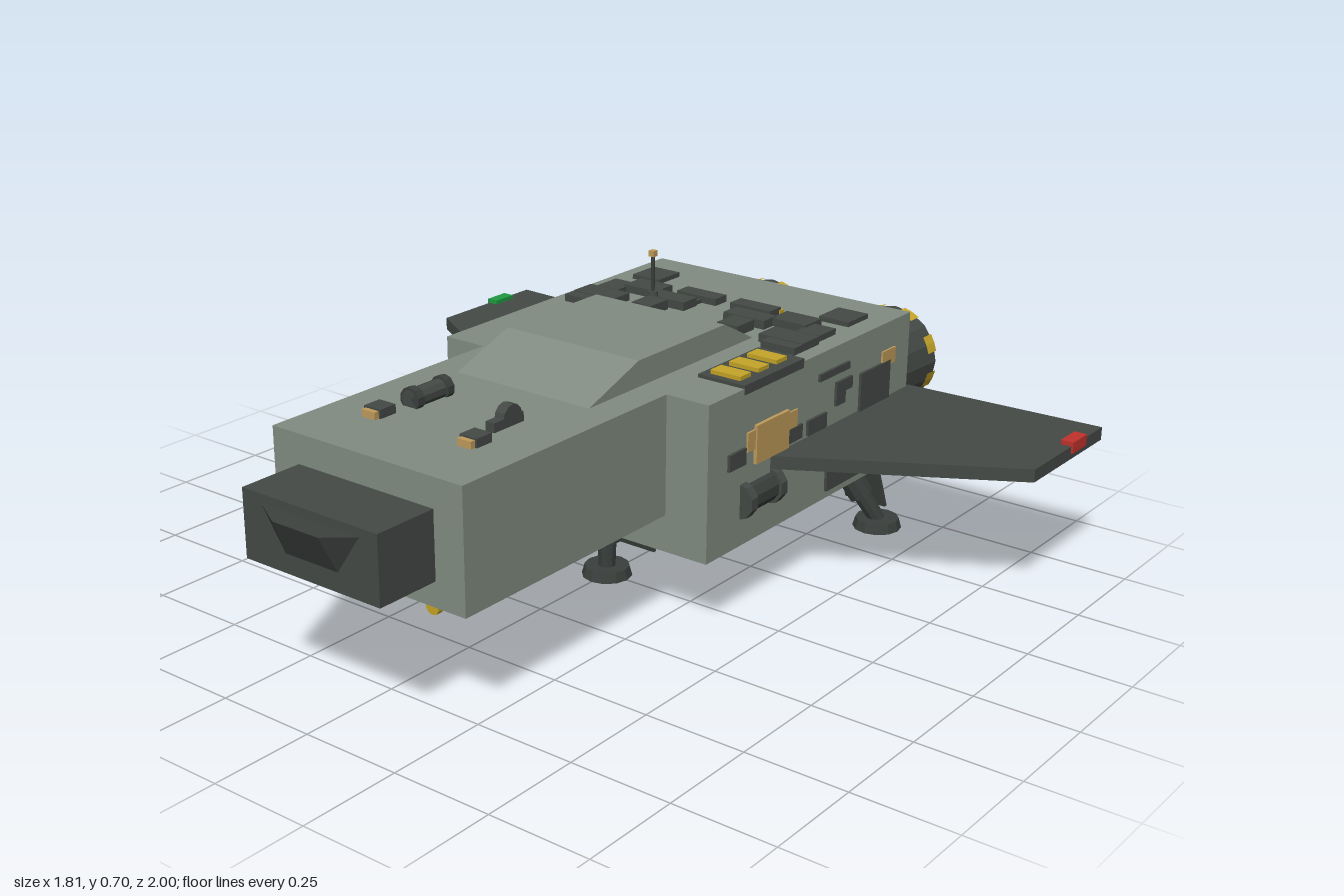
import * as THREE from 'three';

function mat(name, color, extra = {}) {
  const m = new THREE.MeshStandardMaterial({ color, flatShading: true, ...extra });
  m.name = name;
  return m;
}

export function createModel() {
  const model = new THREE.Group();
  model.name = 'dropship';
  const hull = mat('hull grey green', 0x818c81);
  const dark = mat('dark metal', 0x444945);
  const darker = mat('gear metal', 0x3a3f3c);
  const yellow = mat('yellow', 0xc4a428);
  const tan = mat('tan', 0xbf9b5a);
  const red = mat('red light', 0xc0322c);
  const green = mat('green light', 0x1f9a40);

  const add = (name, geo, m, parent = model) => {
    const mesh = new THREE.Mesh(geo, m);
    mesh.name = name;
    parent.add(mesh);
    return mesh;
  };
  // box from its limits on x, y and z
  const box = (name, m, x0, x1, y0, y1, z0, z1) => {
    const b = add(name, new THREE.BoxGeometry(x1 - x0, y1 - y0, z1 - z0), m);
    b.position.set((x0 + x1) / 2, (y0 + y1) / 2, (z0 + z1) / 2);
    return b;
  };
  const pair = (name, m, x0, x1, ...rest) => {
    box(name + 'Left', m, x0, x1, ...rest);
    box(name + 'Right', m, -x1, -x0, ...rest);
  };
  // cylinder between two points
  const rod = (name, m, a, b, r0, r1 = r0, sides = 12) => {
    const p = new THREE.Vector3(...a), q = new THREE.Vector3(...b);
    const c = add(name, new THREE.CylinderGeometry(r1, r0, p.distanceTo(q), sides), m);
    c.position.copy(p).add(q).multiplyScalar(0.5);
    c.quaternion.setFromUnitVectors(new THREE.Vector3(0, 1, 0), q.sub(p).normalize());
    return c;
  };
  // outline in z and y, extruded across x
  const sideProfile = (name, m, pts, halfWidth) => {
    const shape = new THREE.Shape(pts.map(([z, y]) => new THREE.Vector2(-z, y)));
    const geo = new THREE.ExtrudeGeometry(shape, { depth: halfWidth * 2, bevelEnabled: false });
    geo.translate(0, 0, -halfWidth).rotateY(Math.PI / 2);
    return add(name, geo, m);
  };

  // hull
  box('mainHull', hull, -0.385, 0.385, 0.18, 0.56, -0.725, 0.13);
  box('forwardHull', hull, -0.27, 0.27, 0.27, 0.56, 0.12, 0.8);
  sideProfile('dorsalHump', hull, [[0.32, 0.555], [0.13, 0.622], [-0.2, 0.622], [-0.325, 0.555]], 0.192);

  // nose block and its sloping sensor face
  box('nose', dark, -0.195, 0.19, 0.33, 0.49, 0.79, 0.96);
  const A = [-0.14, 0.47, 0.96], B = [0.14, 0.47, 0.96], C = [-0.065, 0.462, 1],
    D = [0.065, 0.462, 1], E = [-0.075, 0.375, 0.96], F = [0.075, 0.375, 0.96];
  const tris = [A, C, D, A, D, B, C, E, F, C, F, D, A, E, C, B, D, F];
  const wedge = new THREE.BufferGeometry();
  wedge.setAttribute('position', new THREE.Float32BufferAttribute(tris.flat(), 3));
  wedge.computeVertexNormals();
  add('noseSensor', wedge, darker);

  // wings with tip lights
  for (const s of [1, -1]) {
    const shape = new THREE.Shape([[0.38, 0.115], [0.9, 0.42], [0.9, 0.762], [0.38, 0.738]]
      .map(([x, y]) => new THREE.Vector2(s * x, y)));
    const geo = new THREE.ExtrudeGeometry(shape, { depth: 0.032, bevelEnabled: false });
    geo.rotateX(-Math.PI / 2).translate(0, 0.333, 0);
    add(s > 0 ? 'leftWing' : 'rightWing', geo, dark);
    const x = s * 0.889;
    box(s > 0 ? 'leftWingLight' : 'rightWingLight', s > 0 ? red : green,
      x - 0.016, x + 0.016, 0.348, 0.376, -0.67, -0.6);
  }

  // engine block
  sideProfile('engineMount', dark, [[-0.72, 0.215], [-0.72, 0.52], [-0.765, 0.5], [-0.82, 0.465],
    [-0.82, 0.225]].reverse(), 0.325);
  rod('enginePipe', darker, [-0.32, 0.5, -0.755], [0.32, 0.5, -0.755], 0.018, 0.018, 8);
  for (const x of [-0.2, 0.2]) box('pipeClamp', dark, x - 0.025, x + 0.025, 0.48, 0.524, -0.775, -0.735);
  for (const x of [-0.295, 0.295]) for (const y of [0.25, 0.435])
    rod('mountBolt', darker, [x, y, -0.815], [x, y, -0.832], 0.016, 0.016, 6);

  // engines with striped rims and glowing cores
  for (const x of [-0.195, 0.195]) {
    rod('engineNozzle', dark, [x, 0.347, -0.81], [x, 0.347, -0.985], 0.118, 0.127, 16);
    for (let i = 0; i < 8; i++) {
      const geo = new THREE.CylinderGeometry(0.1295, 0.1275, 0.037, 2, 1, true, i * Math.PI / 4 + 0.2, 0.36);
      const stripe = add('rimStripe', geo, yellow);
      stripe.rotation.x = -Math.PI / 2;
      stripe.position.set(x, 0.347, -0.968);
    }
    rod('engineCore', yellow, [x, 0.347, -0.98], [x, 0.347, -1], 0.047, 0.043, 12);
  }

  // landing gear: mount, strut, foot and open door
  const gear = (name, x, z, fx, fz) => {
    box(name + 'Mount', dark, x - 0.055, x + 0.055, 0.155, 0.185, z - 0.075, z + 0.065);
    rod(name + 'Strut', darker, [x, 0.165, z], [fx, 0.02, fz], 0.027, 0.021, 10);
    rod(name + 'Piston', darker, [x, 0.165, z], [x + (fx - x) * 0.5, 0.09, z + (fz - z) * 0.5], 0.033, 0.033, 10);
    rod(name + 'Foot', darker, [fx, 0, fz], [fx, 0.025, fz], 0.062, 0.055, 12);
    const door = box(name + 'Door', dark, x - 0.06, x + 0.06, 0.03, 0.165, z - 0.093, z - 0.085);
    door.rotation.x = 0.38;
    box(name + 'Latch', yellow, x - 0.02, x + 0.02, 0.147, 0.157, z - 0.06, z - 0.03);
  };
  gear('frontGear', 0, 0, 0, 0);
  gear('rearGearLeft', 0.295, -0.595, 0.362, -0.655);
  gear('rearGearRight', -0.295, -0.595, -0.362, -0.655);

  // chin guns
  for (const x of [-0.122, 0.122]) {
    box('gunMount', darker, x - 0.018, x + 0.018, 0.235, 0.275, 0.535, 0.585);
    box('gunBody', darker, x - 0.018, x + 0.018, 0.215, 0.242, 0.48, 0.6);
    rod('gunBarrel', dark, [x, 0.229, 0.59], [x, 0.229, 0.73], 0.014, 0.014, 8);
    rod('gunMuzzle', yellow, [x, 0.229, 0.725], [x, 0.229, 0.742], 0.018, 0.018, 10);
  }

  // flank panels: z0, z1, y0, y1, outer x
  const flank = [
    [-0.01, 0.055, 0.38, 0.42], [-0.24, -0.18, 0.375, 0.41], [-0.345, -0.265, 0.37, 0.408],
    [-0.44, -0.31, 0.492, 0.51], [-0.455, -0.385, 0.44, 0.47], [-0.425, -0.385, 0.41, 0.45],
    [-0.63, -0.495, 0.365, 0.462], [-0.265, -0.215, 0.3, 0.335], [-0.64, -0.355, 0.2, 0.255],
  ];
  for (const [z0, z1, y0, y1] of flank) pair('flankPanel', dark, 0.38, 0.392, y0, y1, z0, z1);
  pair('flankHatch', tan, 0.38, 0.394, 0.368, 0.462, -0.18, -0.048);
  pair('hatchTrim', tan, 0.38, 0.39, 0.405, 0.452, -0.22, -0.018);
  pair('flankTag', tan, 0.38, 0.39, 0.45, 0.49, -0.655, -0.595);
  for (const s of [1, -1]) {
    rod('flankTank', darker, [s * 0.375, 0.29, -0.135], [s * 0.375, 0.29, -0.005], 0.038, 0.038, 10);
    for (const z of [-0.13, -0.01])
      rod('tankBand', dark, [s * 0.375, 0.29, z - 0.012], [s * 0.375, 0.29, z + 0.012], 0.046, 0.046, 10);
  }

  // roof equipment: x0, x1, z0, z1, top
  const roof = [
    [0.245, 0.33, -0.615, -0.525, 0.572], [0.27, 0.335, -0.46, -0.385, 0.575],
    [0.175, 0.275, -0.49, -0.42, 0.58], [0.22, 0.345, -0.37, -0.3, 0.58],
    [0.25, 0.345, -0.31, -0.265, 0.578], [0.022, 0.142, -0.512, -0.465, 0.578],
    [0.065, 0.13, -0.475, -0.42, 0.57], [0.06, 0.18, -0.437, -0.382, 0.582],
    [0.1, 0.16, -0.37, -0.3, 0.585],
  ];
  for (const [x0, x1, z0, z1, top] of roof) pair('roofUnit', dark, x0, x1, 0.55, top, z0, z1);
  pair('roofTrim', yellow, 0.06, 0.145, 0.555, 0.571, -0.522, -0.505);

  // roof tray with yellow cells
  box('cellTray', dark, 0.257, 0.386, 0.545, 0.568, -0.245, -0.005);
  for (const z of [-0.19, -0.117, -0.045]) box('cell', yellow, 0.278, 0.36, 0.56, 0.578, z - 0.021, z + 0.021);

  // antenna
  rod('antennaBase', dark, [-0.155, 0.555, -0.38], [-0.155, 0.595, -0.38], 0.016, 0.012, 8);
  rod('antennaMast', darker, [-0.155, 0.58, -0.38], [-0.155, 0.69, -0.38], 0.005, 0.005, 6);
  box('antennaTip', tan, -0.163, -0.147, 0.685, 0.7, -0.388, -0.372);

  // forward deck fittings
  rod('deckTank', dark, [-0.118, 0.577, 0.43], [-0.118, 0.577, 0.54], 0.023, 0.023, 10);
  for (const z of [0.435, 0.53]) rod('deckTankBand', darker, [-0.118, 0.577, z - 0.01], [-0.118, 0.577, z + 0.01], 0.028, 0.028, 10);
  box('deckBracket', dark, 0.106, 0.13, 0.555, 0.582, 0.45, 0.545);
  rod('deckWheel', dark, [0.104, 0.578, 0.485], [0.13, 0.578, 0.485], 0.03, 0.03, 12);
  for (const x of [-0.14, 0.135]) {
    box('deckLamp', dark, x - 0.024, x + 0.024, 0.555, 0.581, 0.585, 0.632);
    box('deckLampLens', tan, x - 0.019, x + 0.019, 0.555, 0.577, 0.63, 0.645);
  }
  return model;
}
